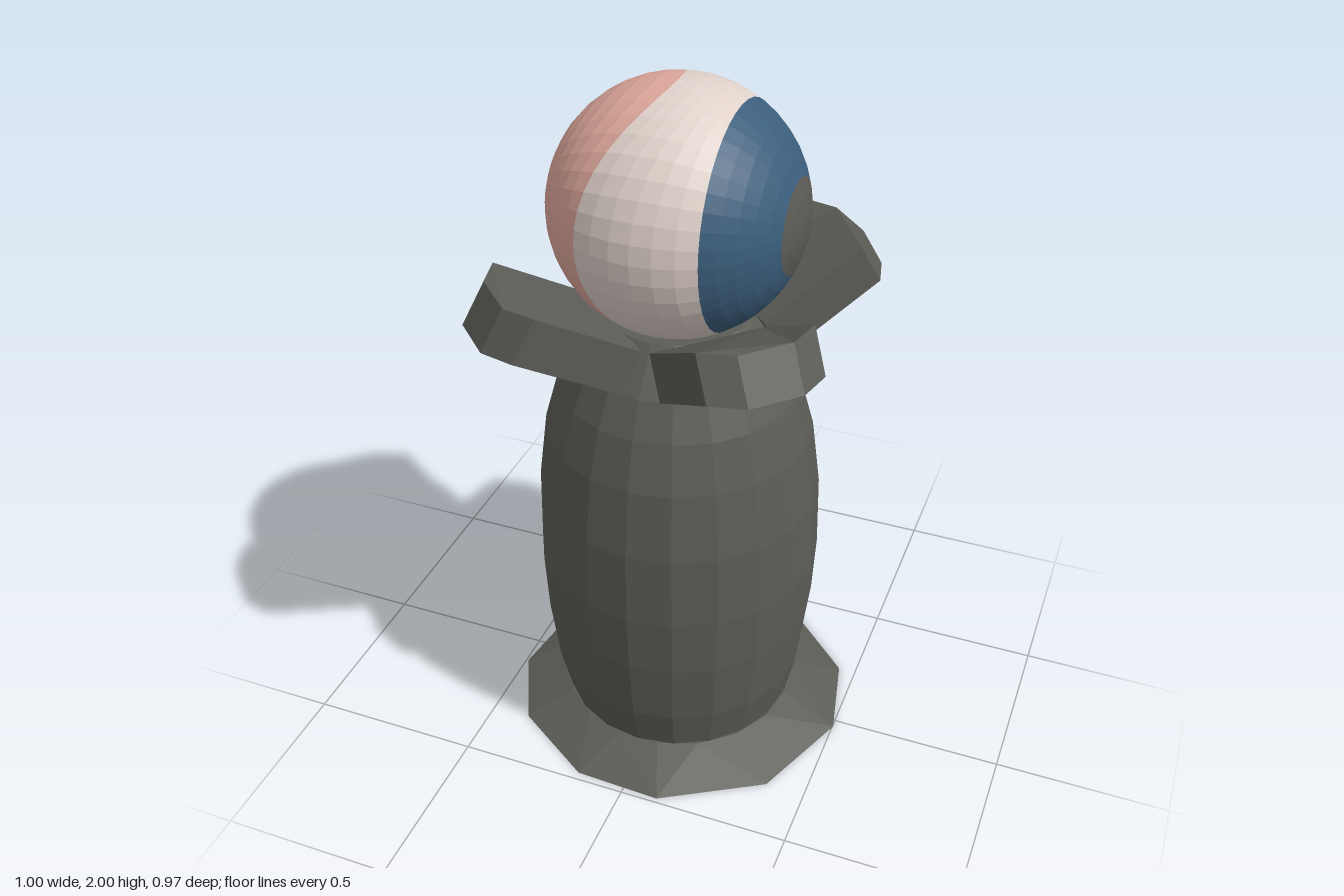
import * as THREE from 'three';
import { ConvexGeometry } from 'three/addons/geometries/ConvexGeometry.js';

const mat = (name, color) => {
  const m = new THREE.MeshStandardMaterial({ color, flatShading: true });
  m.name = name;
  return m;
};

const CX = -0.01;

export function createModel() {
  const stone = mat('stone', 0x5c5c57);
  const white = mat('eyeWhite', 0xdfd1ca);
  const pink = mat('pink', 0xe0a99d);
  const blue = mat('irisBlue', 0x3b5e7c);
  const pupil = mat('pupilGrey', 0x5d5b56);

  const model = new THREE.Group();
  const add = (parent, name, geometry, material) => {
    const mesh = new THREE.Mesh(geometry, material);
    mesh.name = name;
    parent.add(mesh);
    return mesh;
  };

  // Rough-cut plinth: uneven outline sloping up to the foot of the column
  const points = [3, 40, 78, 107, 140, 169, 207, 252, 295, 333].map((deg) => {
    const a = THREE.MathUtils.degToRad(deg);
    return new THREE.Vector3(0.503 * Math.cos(a), 0, 0.497 * Math.sin(a));
  });
  for (let i = 0; i < 18; i++) {
    const a = (i / 18) * Math.PI * 2;
    points.push(new THREE.Vector3(CX + 0.345 * Math.cos(a), 0.065, 0.345 * Math.sin(a)));
  }
  add(model, 'plinth', new ConvexGeometry(points), stone);

  // Bulging column
  const profile = [
    [0.34, 0.06], [0.372, 0.2], [0.396, 0.4], [0.405, 0.58], [0.4, 0.8],
    [0.374, 1.0], [0.335, 1.14], [0.29, 1.24], [0.2, 1.36], [0, 1.36],
  ].map(([r, y]) => new THREE.Vector2(r, y));
  add(model, 'column', new THREE.LatheGeometry(profile, 20), stone).position.x = CX;

  // Four slabs sloping outward under the ball, each with a blunt pointed tip
  const L = 0.325, W = 0.16;
  const slab = new THREE.Shape([
    [-W, 0], [W, 0], [W, L], [0.075, L + 0.053], [-0.075, L + 0.053], [-W, L],
  ].map(([s, a]) => new THREE.Vector2(s, a)));
  const slabGeometry = new THREE.ExtrudeGeometry(slab, { depth: 0.13, bevelEnabled: false });
  const p = slabGeometry.attributes.position;
  for (let i = 0; i < p.count; i++) {
    const s = p.getX(i), a = p.getY(i), h = p.getZ(i);
    const run = Math.min(a, L), tip = Math.max(a - L, 0);
    p.setXYZ(i, -s, 1.24 + 0.5 * run + 0.866 * h, 0.24 + 0.866 * run + tip - 0.5 * h);
  }
  slabGeometry.computeVertexNormals();
  for (let i = 0; i < 4; i++) {
    const arm = add(model, 'supportArm' + (i + 1), slabGeometry, stone);
    arm.position.x = CX;
    arm.rotation.y = Math.PI / 4 + (i * Math.PI) / 2;
  }

  // Ball, built as bands around the x axis between two polar-angle limits
  const R = 0.342, SEG = 40;
  const band = (from, to, rings) => {
    const pos = [], index = [];
    for (let j = 0; j <= rings; j++) {
      for (let i = 0; i <= SEG; i++) {
        const phi = (i / SEG) * Math.PI * 2;
        const t = THREE.MathUtils.lerp(from(phi), to(phi), j / rings);
        pos.push(R * Math.cos(t), R * Math.sin(t) * Math.sin(phi), R * Math.sin(t) * Math.cos(phi));
        if (j < rings && i < SEG) {
          const a = j * (SEG + 1) + i, b = a + SEG + 1;
          index.push(a, a + 1, b, b, a + 1, b + 1);
        }
      }
    }
    const g = new THREE.BufferGeometry();
    g.setAttribute('position', new THREE.Float32BufferAttribute(pos, 3));
    g.setIndex(index);
    // Keep every face turned outward
    const v = [0, 1, 2].map((k) => new THREE.Vector3().fromArray(pos, index[6 * SEG * (rings - 1) + k] * 3));
    const n = v[1].clone().sub(v[0]).cross(v[2].clone().sub(v[0]));
    if (n.dot(v[0]) < 0) {
      for (let k = 0; k < index.length; k += 3) [index[k], index[k + 1]] = [index[k + 1], index[k]];
      g.setIndex(index);
    }
    g.computeVertexNormals();
    return g;
  };
  const pole = () => 0;
  const pupilEdge = () => 0.38;
  const irisEdge = () => 1.07;
  const pinkEdge = (phi) => {
    const k = 0.6 * Math.cos(phi) ** 2;
    return k < 1e-4 ? Math.PI / 2 : Math.acos((1 - Math.sqrt(1 + 4 * k * k)) / (2 * k));
  };
  const back = () => Math.PI;

  const eye = new THREE.Group();
  eye.name = 'eyeball';
  eye.position.set(CX, 1.658, 0);
  add(eye, 'pupil', band(pole, pupilEdge, 3), pupil);
  add(eye, 'iris', band(pupilEdge, irisEdge, 5), blue);
  add(eye, 'eyeWhite', band(irisEdge, pinkEdge, 6), white);
  add(eye, 'pinkBack', band(pinkEdge, back, 10), pink);
  model.add(eye);

  return model;
}
